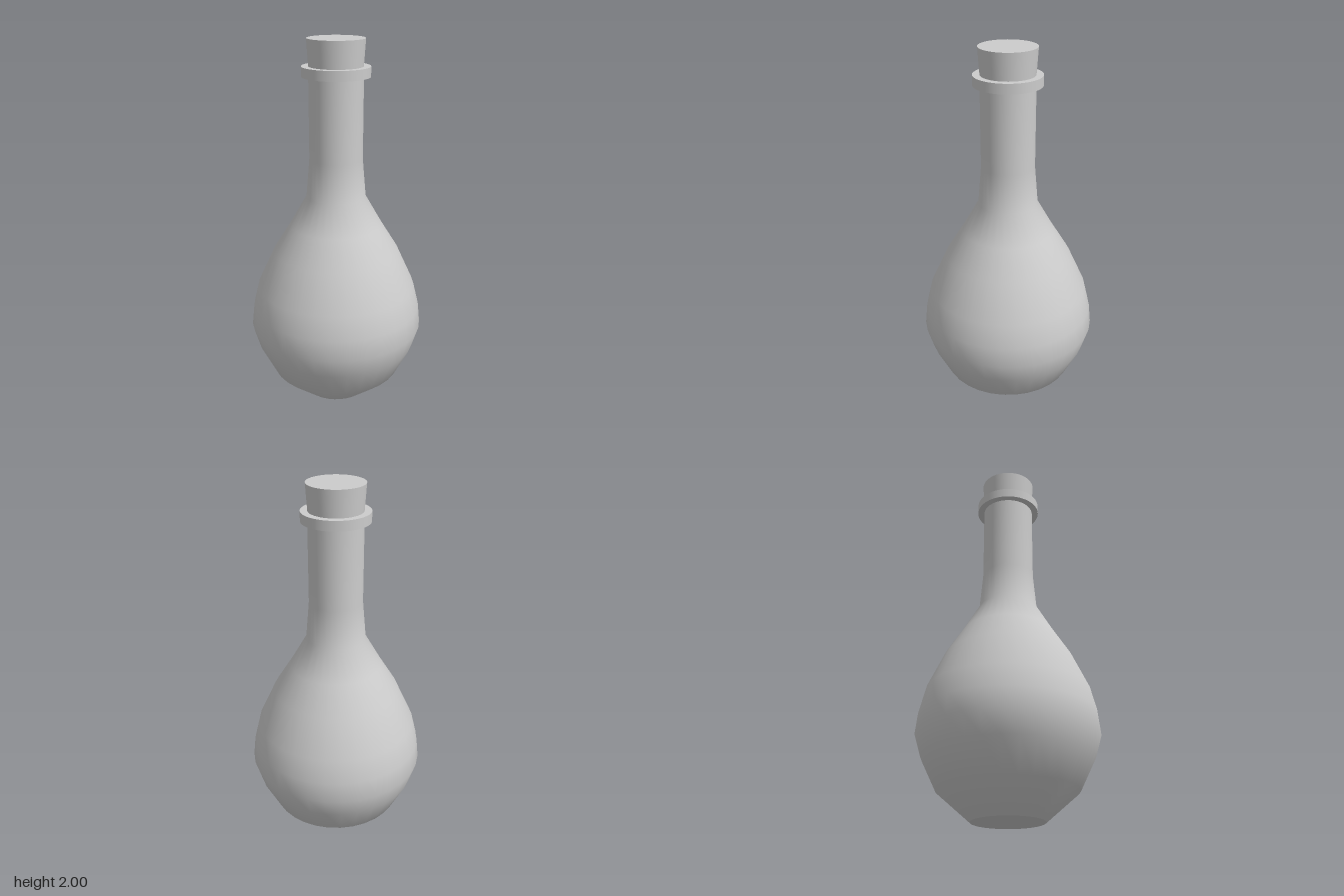
import * as THREE from 'three';

export function createModel() {
  const group = new THREE.Group();
  const material = new THREE.MeshStandardMaterial({ color: 0xcccccc });
  const add = (name, geometry, y = 0) => {
    const mesh = new THREE.Mesh(geometry, material);
    mesh.name = name;
    mesh.position.y = y;
    group.add(mesh);
    return mesh;
  };

  // Round belly running up into the slim neck
  const profile = [
    [0.188, 0], [0.363, 0.15], [0.444, 0.315], [0.478, 0.43], [0.466, 0.54],
    [0.435, 0.665], [0.343, 0.865], [0.25, 1.015], [0.16, 1.173], [0.142, 1.38], [0.142, 1.84],
  ].map(([r, y]) => new THREE.Vector2(r, y));
  add('bottleBody', new THREE.LatheGeometry(profile, 32));

  // Flat underside
  add('base', new THREE.CircleGeometry(0.188, 32).rotateX(Math.PI / 2));

  // Collar around the mouth
  add('neckRing', new THREE.CylinderGeometry(0.178, 0.178, 0.052, 64), 1.836);

  // Stopper, slightly wider at the top
  add('cork', new THREE.CylinderGeometry(0.15, 0.138, 0.18, 64), 1.91);

  return group;
}
